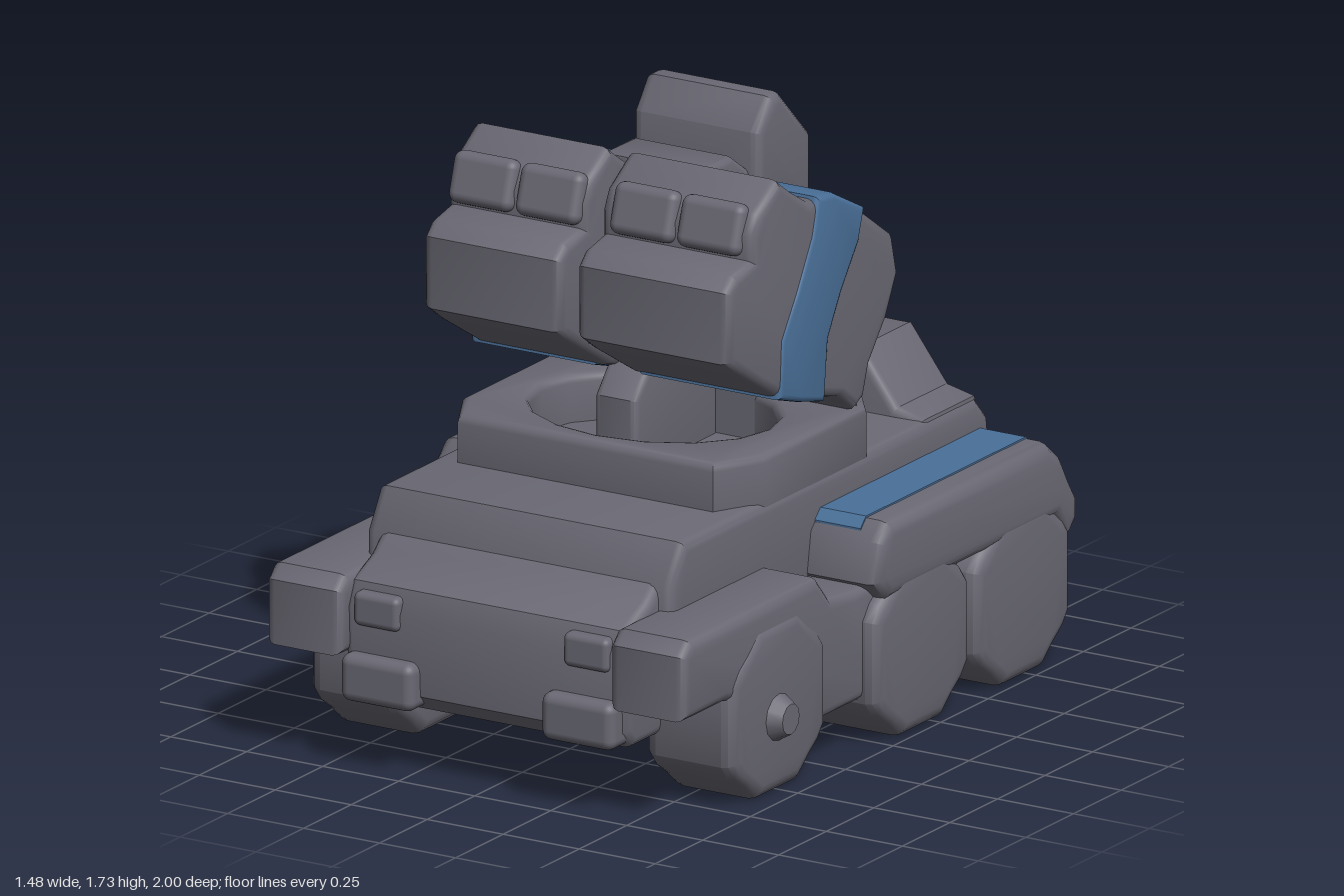
import * as THREE from 'three';
import { toCreasedNormals } from 'three/addons/utils/BufferGeometryUtils.js';
import { RoundedBoxGeometry } from 'three/addons/geometries/RoundedBoxGeometry.js';

const grey = new THREE.MeshStandardMaterial({ color: 0x6a6974 });
grey.name = 'armour grey';
const blue = new THREE.MeshStandardMaterial({ color: 0x4a7099 });
blue.name = 'marking blue';

const shapeOf = (pts) => new THREE.Shape(pts.map(([a, b]) => new THREE.Vector2(a, b)));

function addMesh(parent, name, geometry, material = grey) {
  const mesh = new THREE.Mesh(geometry, material);
  mesh.name = name;
  parent.add(mesh);
  return mesh;
}

// Bevelled extrusion that stays inside its outline, running 0..depth
function bevelled(shape, depth, bevel) {
  const g = new THREE.ExtrudeGeometry(shape, {
    depth: depth - 2 * bevel, bevelEnabled: bevel > 0, bevelThickness: bevel,
    bevelSize: bevel, bevelOffset: -bevel, bevelSegments: 3,
  });
  return g.translate(0, 0, bevel);
}

// Side profile of [z, y] points spanning x0..x1
function profile(pts, x0, x1, bevel = 0.03) {
  const g = bevelled(shapeOf(pts), x1 - x0, bevel);
  return toCreasedNormals(g.rotateY(-Math.PI / 2).translate(x1, 0, 0), 0.7);
}

// Plan outline of [x, z] points spanning y0..y1, with an optional hole
function plan(pts, y0, y1, bevel = 0.03, hole = null) {
  const shape = shapeOf(pts.map(([x, z]) => [x, -z]));
  if (hole) shape.holes.push(new THREE.Path(hole.map(([x, z]) => new THREE.Vector2(x, -z))));
  const g = bevelled(shape, y1 - y0, bevel);
  return toCreasedNormals(g.rotateX(-Math.PI / 2).translate(0, y0, 0), 0.7);
}

// Rounded box given by its limits
function block(x0, x1, y0, y1, z0, z1, r = 0.03) {
  return new RoundedBoxGeometry(x1 - x0, y1 - y0, z1 - z0, 3, r)
    .translate((x0 + x1) / 2, (y0 + y1) / 2, (z0 + z1) / 2);
}

const mirrorSpan = (side, a, b) => (side > 0 ? [a, b] : [-b, -a]);

function buildHull() {
  const hull = new THREE.Group();
  hull.name = 'hull';
  addMesh(hull, 'lowerHull', profile([
    [0.9, 0.19], [0.95, 0.24], [0.96, 0.47], [0.93, 0.54], [0.82, 0.59], [0.76, 0.64],
    [-0.9, 0.64], [-0.95, 0.54], [-0.95, 0.24], [-0.9, 0.19]], -0.46, 0.46));
  addMesh(hull, 'upperDeck', profile([
    [0.77, 0.45], [0.77, 0.63], [0.7, 0.745], [-0.84, 0.745], [-0.9, 0.68], [-0.93, 0.45]], -0.505, 0.505));

  // Open turret ring with a taller rear section
  const ringHole = [];
  for (let i = 0; i < 16; i++) {
    const a = -i / 16 * Math.PI * 2;
    ringHole.push([Math.cos(a) * 0.37, 0.06 + Math.sin(a) * 0.29]);
  }
  addMesh(hull, 'turretRing', plan([
    [-0.5, 0.27], [-0.42, 0.42], [0.42, 0.42], [0.5, 0.27],
    [0.5, -0.26], [0.32, -0.5], [-0.32, -0.5], [-0.5, -0.26]], 0.65, 0.885, 0.025, ringHole));
  addMesh(hull, 'turretRingRear', plan([
    [-0.48, -0.24], [0.48, -0.24], [0.3, -0.52], [-0.3, -0.52]], 0.7, 0.975));

  // Engine cover with sloping sides
  const cover = bevelled(shapeOf([
    [-0.5, 0.68], [0.5, 0.68], [0.49, 0.75], [0.4, 0.77], [0.28, 0.93],
    [-0.28, 0.93], [-0.4, 0.77], [-0.49, 0.75]]), 0.29, 0.025);
  addMesh(hull, 'engineCover', toCreasedNormals(cover.translate(0, 0, -0.86), 0.7));

  for (const s of [1, -1]) {
    const span = (a, b) => mirrorSpan(s, a, b);
    addMesh(hull, 'frontLug', block(...span(0.21, 0.45), 0.2, 0.34, 0.85, 1.0));
    addMesh(hull, 'headlight', block(...span(0.27, 0.42), 0.42, 0.52, 0.88, 0.975, 0.02));
  }
  return hull;
}

function buildRunningGear(s) {
  const gear = new THREE.Group();
  gear.name = s > 0 ? 'leftRunningGear' : 'rightRunningGear';
  const span = (a, b) => mirrorSpan(s, a, b);

  addMesh(gear, 'frontFender', profile([
    [1, 0.33], [1, 0.52], [0.96, 0.56], [0.29, 0.56], [0.22, 0.48], [0.1, 0.47],
    [-0.05, 0.47], [-0.05, 0.14], [0.3, 0.14], [0.5, 0.28], [0.78, 0.33]], ...span(0.44, 0.69)));
  addMesh(gear, 'rearFender', profile([
    [0.06, 0.48], [0.04, 0.6], [-0.01, 0.65], [-0.85, 0.65], [-0.92, 0.59], [-0.96, 0.52],
    [-1, 0.46], [-1, 0.39], [-0.95, 0.34], [-0.88, 0.42], [0.0, 0.42]], ...span(0.455, 0.74), 0.04));
  addMesh(gear, 'sill', profile([
    [0.0, 0.17], [0.0, 0.5], [-0.93, 0.5], [-0.93, 0.32], [-0.5, 0.32], [-0.4, 0.17]], ...span(0.42, 0.66)));
  // Painted strip following the fender top
  addMesh(gear, 'fenderStripe', profile([
    [0.02, 0.626], [-0.01, 0.655], [-0.85, 0.655], [-0.92, 0.596],
    [-0.92, 0.588], [-0.85, 0.647], [-0.01, 0.647], [0.02, 0.618]], ...span(0.505, 0.655), 0), blue);

  // Chunky wheels resting on a flat, with the corners cut back
  const wheels = [['frontWheel', 0.51, 0.7], ['middleWheel', -0.185, 0.738], ['rearWheel', -0.715, 0.738]];
  const quarter = [[0.25, 0.12], [0.215, 0.165], [0.165, 0.2], [0.105, 0.25]];
  for (const [name, z, outer] of wheels) {
    const pts = [];
    for (const [sz, sy] of [[1, 1], [-1, 1], [-1, -1], [1, -1]]) {
      const corner = quarter.map(([a, b]) => [z + sz * a, 0.25 + sy * b]);
      pts.push(...(sz * sy > 0 ? corner : corner.reverse()));
    }
    addMesh(gear, name, profile(pts, ...span(0.405, outer), 0.04));
  }
  const hub = new THREE.CylinderGeometry(0.045, 0.08, 0.06, 12).rotateZ(-s * Math.PI / 2);
  addMesh(gear, 'frontHub', hub.translate(s * 0.71, 0.22, 0.52));
  return gear;
}

function buildLauncher() {
  const launcher = new THREE.Group();
  launcher.name = 'launcher';
  const podSide = [
    [0.2, 1.67], [0.13, 1.62], [0.04, 1.565], [-0.08, 1.55], [-0.2, 1.49], [-0.4, 1.35],
    [-0.43, 1.23], [-0.37, 1.11], [-0.28, 1.0], [-0.25, 0.91], [-0.2, 0.885], [-0.12, 0.945],
    [0.02, 0.98], [0.2, 1.03], [0.3, 1.09], [0.4, 1.15], [0.47, 1.2], [0.47, 1.41],
    [0.43, 1.45], [0.34, 1.47], [0.34, 1.54], [0.31, 1.6]];
  const stripeSide = [
    [0.01, 1.57], [-0.08, 1.558], [-0.24, 1.474], [-0.21, 1.38], [-0.12, 1.26], [-0.05, 1.14],
    [-0.03, 0.958], [0.1, 0.992], [0.21, 1.028], [0.2, 1.2], [0.12, 1.32], [0.04, 1.46]];
  for (const [name, x0, x1] of [['left', 0, 0.505], ['right', -0.505, -0.05]]) {
    addMesh(launcher, name + 'Pod', profile(podSide, x0, x1, 0.03));
    // Only the outer side of the band stands proud of the pod
    const [b0, b1] = x0 < 0 ? [x0 - 0.006, -0.09] : [0.04, x1 + 0.006];
    addMesh(launcher, name + 'PodStripe', profile(stripeSide, b0, b1, 0.018), blue);
    // Low swellings over the missile tubes on the upper front
    const mid = (x0 + x1) / 2;
    for (const d of [-0.11, 0.11]) {
      const cell = new RoundedBoxGeometry(0.21, 0.15, 0.06, 3, 0.029);
      const mesh = addMesh(launcher, 'missileCover', cell);
      mesh.position.set(mid + d, 1.55, 0.325);
      mesh.rotation.x = -0.3;
    }
  }

  // Central spine, sensor housing and mount
  addMesh(launcher, 'spine', profile([
    [0.04, 1.59], [-0.12, 1.59], [-0.42, 1.38], [-0.43, 1.22], [-0.25, 1.0], [0.0, 1.0], [0.1, 1.3]],
    -0.19, 0.15, 0.02));
  addMesh(launcher, 'spineMarking', profile([
    [0.2, 1.38], [0.05, 1.38], [0.1, 1.13], [0.32, 1.13], [0.3, 1.2]], -0.055, 0.005, 0), blue);
  addMesh(launcher, 'sensorHousing', profile([
    [-0.2, 1.64], [-0.27, 1.73], [-0.32, 1.73], [-0.48, 1.57], [-0.48, 1.38], [-0.43, 1.32], [-0.2, 1.4]],
    -0.235, 0.185));
  addMesh(launcher, 'rearBox', block(-0.185, 0.135, 1.205, 1.35, -0.575, -0.38));
  addMesh(launcher, 'mountPost', profile([
    [0.23, 0.7], [0.23, 0.95], [0.17, 1.02], [0.05, 1.08], [-0.2, 1.08], [-0.2, 0.7]], -0.09, 0.05, 0.02));
  addMesh(launcher, 'mountBase', block(-0.24, 0.2, 0.7, 1.02, -0.34, -0.19));
  return launcher;
}

export function createModel() {
  const model = new THREE.Group();
  model.name = 'missileCarrier';
  model.add(buildHull(), buildRunningGear(1), buildRunningGear(-1), buildLauncher());
  return model;
}
